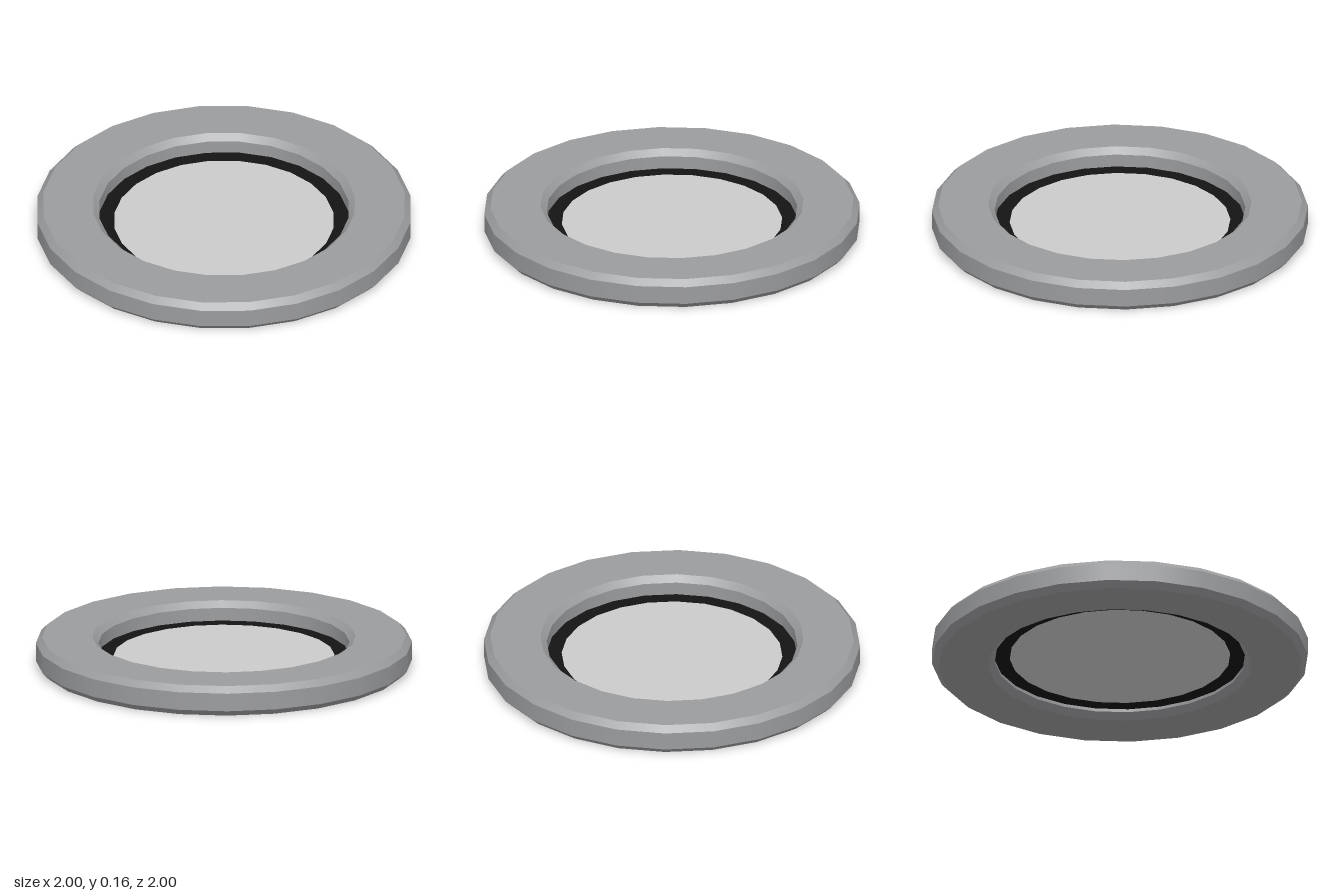
import * as THREE from 'three';
import { mergeGeometries } from 'three/addons/utils/BufferGeometryUtils.js';

const SIDES = 24;

// Revolve a closed profile: smooth around the axis, sharp between its segments
function turned(profile) {
  const pts = profile.map(([r, y]) => new THREE.Vector2(r, y));
  return mergeGeometries(pts.map((p, i) =>
    new THREE.LatheGeometry([p, pts[(i + 1) % pts.length]], SIDES)));
}

function part(name, geometry, color) {
  const mesh = new THREE.Mesh(geometry, new THREE.MeshStandardMaterial({ color }));
  mesh.name = name;
  return mesh;
}

export function createModel() {
  const model = new THREE.Group();
  model.name = 'roundFrame';

  // Heavy outer ring with chamfers on all four rims
  model.add(part('outerRing', turned([
    [0.967, 0], [1, 0.033], [1, 0.13], [0.967, 0.163],
    [0.7, 0.163], [0.667, 0.13], [0.667, 0.033], [0.7, 0],
  ]), 0x9b9c9e));

  // Thin dark gasket seated inside the ring
  model.add(part('gasket', turned([
    [0.667, 0.05], [0.667, 0.06], [0.587, 0.06], [0.587, 0.05],
  ]), 0x141414));

  // Pale pane filling the gasket
  const pane = part('pane', new THREE.CylinderGeometry(0.587, 0.587, 0.01, SIDES), 0xcececa);
  pane.position.y = 0.055;
  model.add(pane);

  return model;
}
